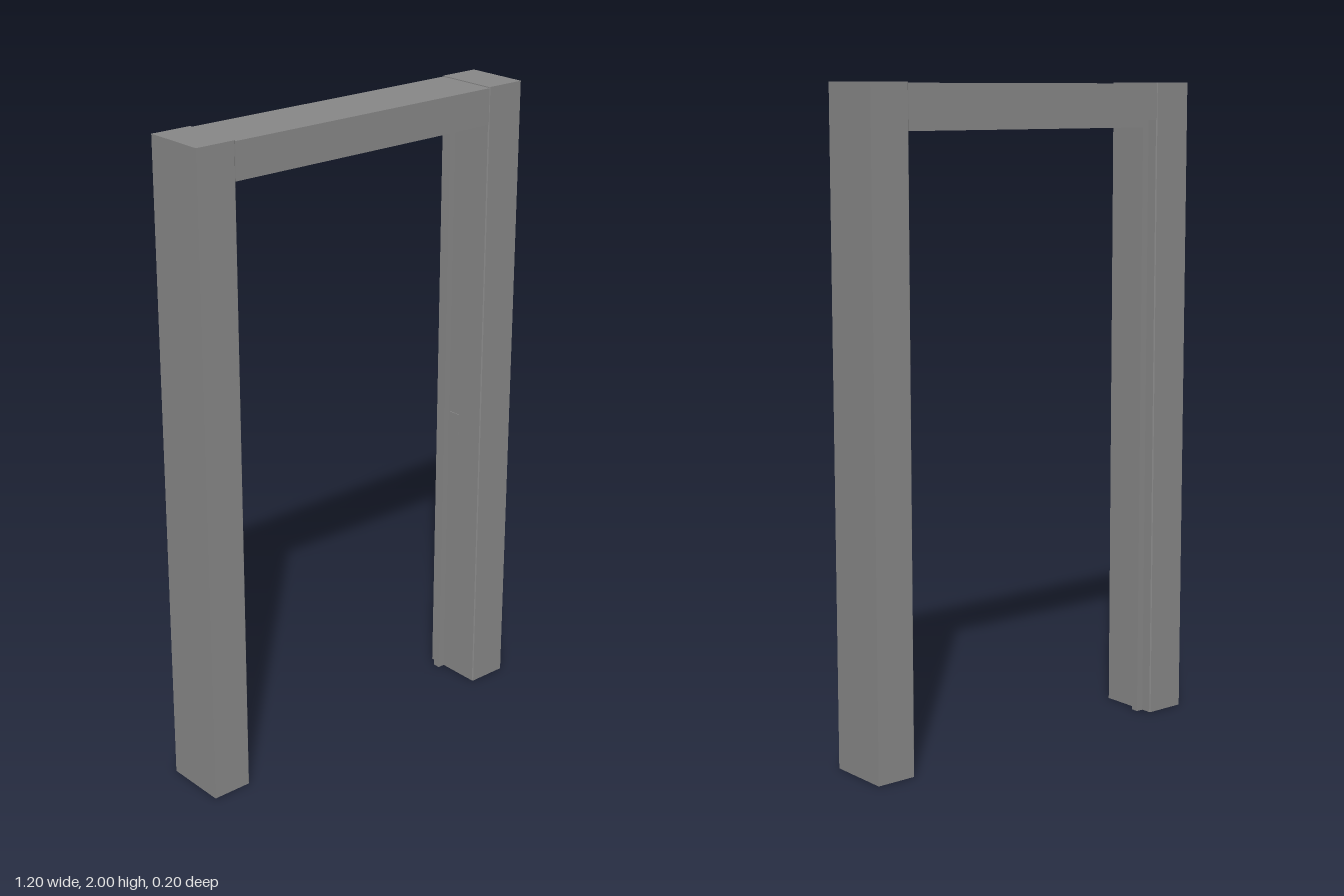
import * as THREE from 'three';

const material = new THREE.MeshStandardMaterial({ color: 0x868686, flatShading: true });

// Overall dimensions
const HEIGHT = 2, HALF_WIDTH = 0.6, DEPTH = 0.2;
const OPEN_X = 0.471, OPEN_Y = 1.887; // clear opening
const LINTEL_TOP = 1.997; // lintel sits a hair below the post tops
const STOP = 0.023, STOP_DEPTH = 0.024, STOP_Z = -0.052; // stop strip section and position

// Upright with finely chamfered edges towards the opening; s is the side
function post(name, s) {
  const z = DEPTH / 2, c = 0.003;
  const section = new THREE.Shape([
    [HALF_WIDTH, -z], [HALF_WIDTH, z], [OPEN_X + c, z],
    [OPEN_X, z - c], [OPEN_X, -z + c], [OPEN_X + c, -z],
  ].map(([a, b]) => new THREE.Vector2(s * a, b)));
  const geometry = new THREE.ExtrudeGeometry(section, { depth: HEIGHT, bevelEnabled: false });
  geometry.rotateX(-Math.PI / 2);
  const mesh = new THREE.Mesh(geometry, material);
  mesh.name = name;
  return mesh;
}

function box(name, w, h, d, x, y, z) {
  const mesh = new THREE.Mesh(new THREE.BoxGeometry(w, h, d), material);
  mesh.name = name;
  mesh.position.set(x, y, z);
  return mesh;
}

export function createModel() {
  const frame = new THREE.Group();
  frame.name = 'doorFrame';

  // Side posts with their stop strips
  for (const [side, s] of [['left', 1], ['right', -1]]) {
    frame.add(post(side + 'Post', s));
    frame.add(box(side + 'Stop', STOP, OPEN_Y, STOP_DEPTH,
      s * (OPEN_X - STOP / 2), OPEN_Y / 2, STOP_Z));
  }

  // Lintel between the posts
  frame.add(box('lintel', OPEN_X * 2, LINTEL_TOP - OPEN_Y, DEPTH, 0, (LINTEL_TOP + OPEN_Y) / 2, 0));

  // Stop strip under the lintel
  frame.add(box('topStop', (OPEN_X - STOP) * 2, STOP, STOP_DEPTH, 0, OPEN_Y - STOP / 2, STOP_Z));

  // Thin latch plate on the left post
  frame.add(box('strikePlate', 0.003, 0.16, 0.045, OPEN_X - 0.001, 0.85, -0.017));

  return frame;
}
